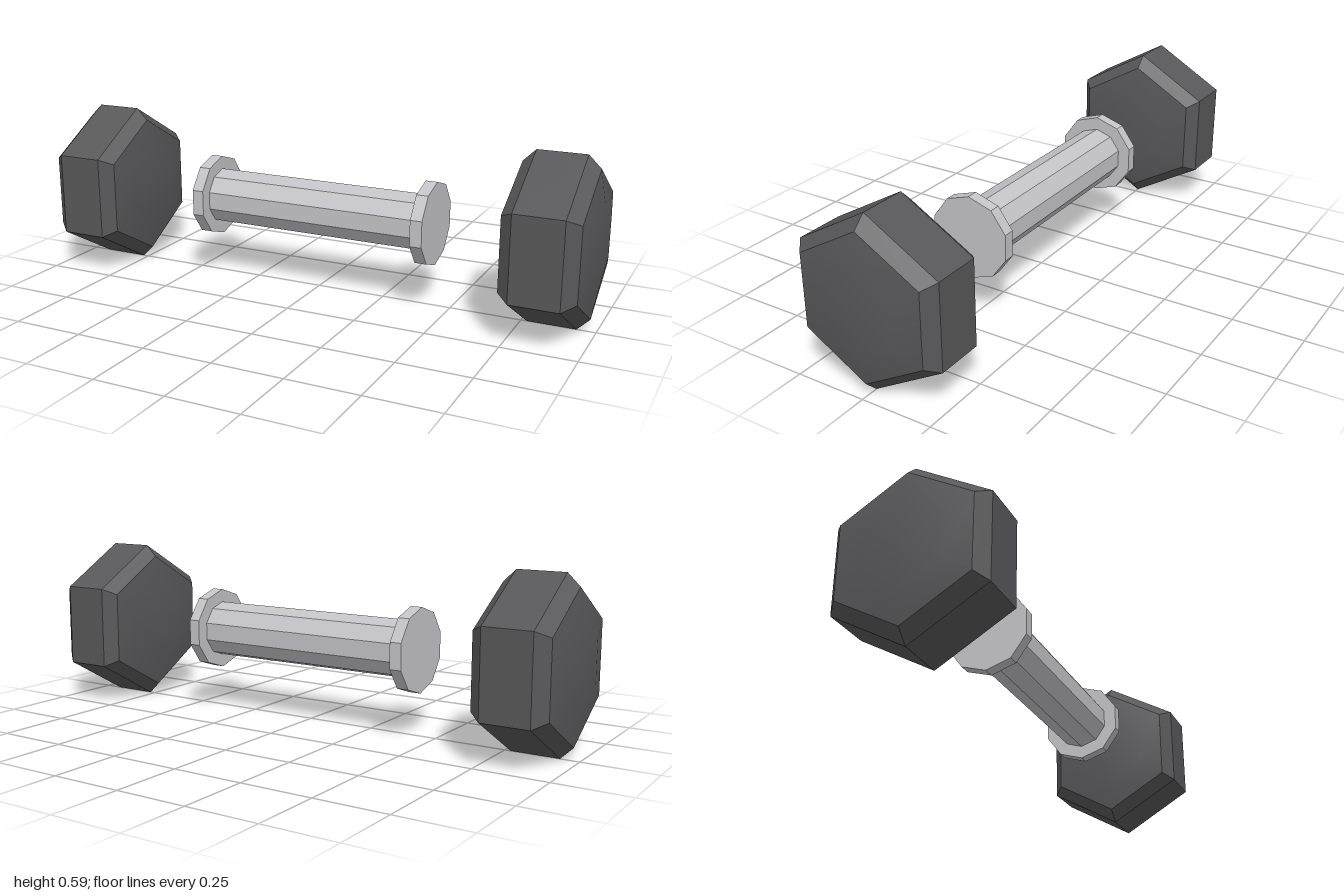
import * as THREE from 'three';
import { toCreasedNormals } from 'three/addons/utils/BufferGeometryUtils.js';

const AXIS_Y = 0.294;   // height of the shared axis
const HEAD_X = 0.853;   // centre of each head

export function createModel() {
  const rubber = new THREE.MeshStandardMaterial({ color: 0x58585a });
  rubber.name = 'darkRubber';
  const steel = new THREE.MeshStandardMaterial({ color: 0xc4c4c8 });
  steel.name = 'lightSteel';

  const model = new THREE.Group();
  model.name = 'dumbbell';

  // Revolve a [radius, offset] profile around the x axis, with a corner at the top
  function addTurned(name, profile, sides, material, x) {
    const points = profile.map(([r, h]) => new THREE.Vector2(r, h));
    const lathe = new THREE.LatheGeometry(points, sides, Math.PI / 2);
    lathe.rotateZ(-Math.PI / 2);
    const mesh = new THREE.Mesh(toCreasedNormals(lathe, 0.45), material);
    mesh.name = name;
    mesh.position.set(x, AXIS_Y, 0);
    model.add(mesh);
  }

  // Hexagonal head: bevelled rim and gently domed faces
  const halfHead = [[0.294, 0.083], [0.252, 0.126], [0.146, 0.144], [0, 0.147]];
  const headProfile = [...halfHead.map(([r, h]) => [r, -h]).reverse(), ...halfHead];

  // Ten-sided grip and end collars
  const rod = (r, half) => [[0, -half], [r, -half], [r, half], [0, half]];
  addTurned('grip', rod(0.1, 0.4), 10, steel, 0);

  for (const [side, s] of [['left', 1], ['right', -1]]) {
    addTurned(side + 'Collar', rod(0.147, 0.021), 10, steel, s * 0.42);
    addTurned(side + 'Head', headProfile, 6, rubber, s * HEAD_X);
  }
  return model;
}
